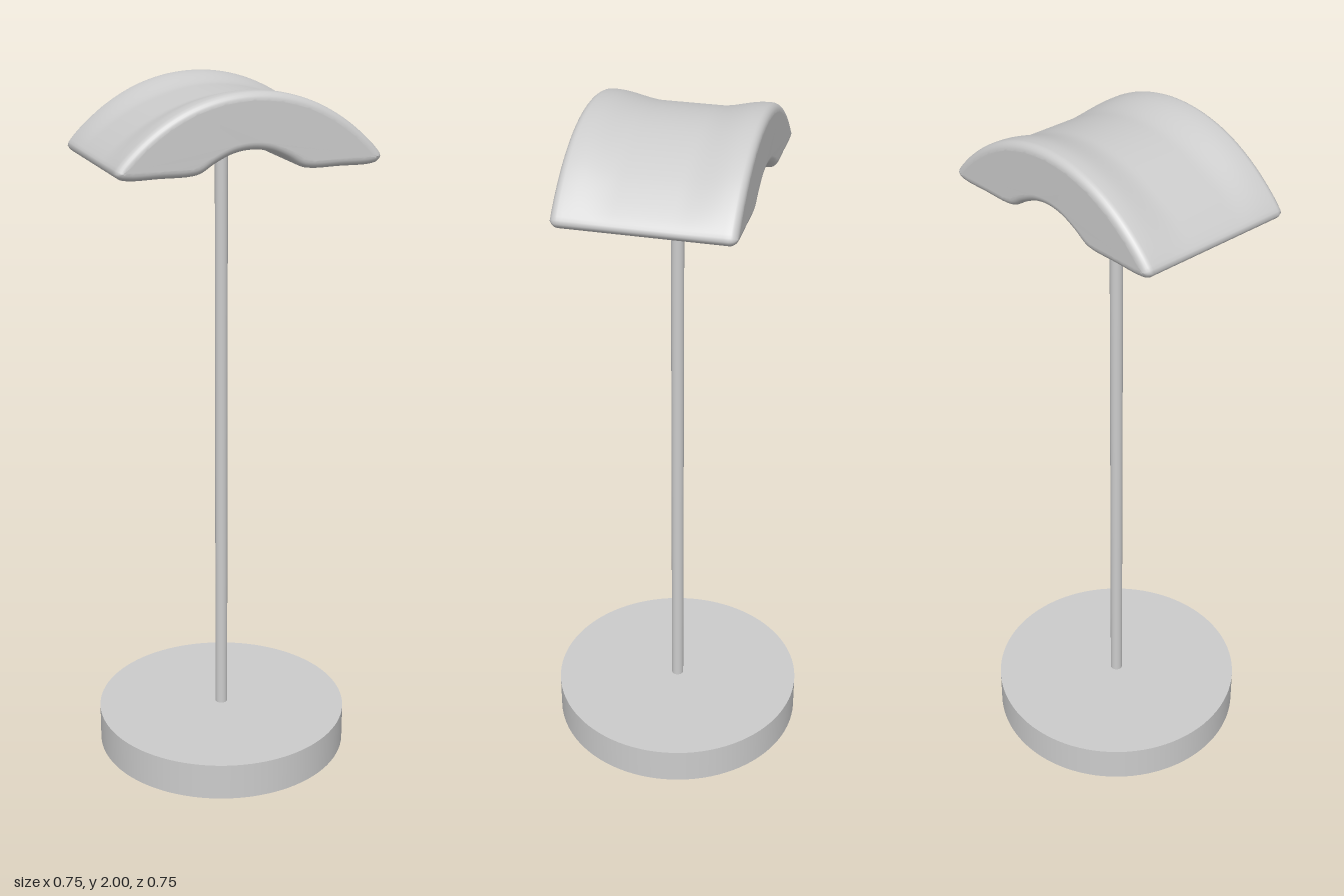
import * as THREE from 'three';

const material = new THREE.MeshStandardMaterial({ color: 0xcccccc });

// Right half of the cradle's section, from underside centre round the tip to the crown
const HALF = [
  [0, 1.85], [0.05, 1.843], [0.1, 1.821], [0.14, 1.797], [0.17, 1.791], [0.25, 1.791], [0.335, 1.791],
  [0.36, 1.797], [0.371, 1.813], [0.362, 1.828], [0.32, 1.871], [0.25, 1.925], [0.17, 1.967], [0.085, 1.992], [0, 2],
];

function sectionLoop() {
  const mirrored = HALF.slice(1, -1).reverse().map(([x, y]) => [-x, y]);
  const points = [...HALF, ...mirrored].map(([x, y]) => new THREE.Vector3(x, y, 0));
  const loop = new THREE.CatmullRomCurve3(points, true).getSpacedPoints(160);
  loop.pop();
  return loop;
}

// Saddle-shaped rest: the section is swept along z, dipped in the middle and rounded at both faces
function cradleGeometry() {
  const loop = sectionLoop(), n = loop.length;
  const halfDepth = 0.238, radius = 0.022, roundSteps = 6, spanSteps = 36;
  const stations = [];
  for (let i = 0; i <= roundSteps; i++) {
    const a = (i / roundSteps) * Math.PI / 2;
    stations.push([-halfDepth + radius * (1 - Math.sin(a)), radius * (1 - Math.cos(a))]);
  }
  // first entries run from the middle outward, so order by depth
  for (let i = 1; i < spanSteps; i++) stations.push([(halfDepth - radius) * (2 * i / spanSteps - 1), 0]);
  for (let i = 0; i <= roundSteps; i++) {
    const a = (i / roundSteps) * Math.PI / 2;
    stations.push([halfDepth - radius * (1 - Math.sin(a)), radius * (1 - Math.cos(a))]);
  }
  // turn each rounding so the inset is largest at the outer face
  for (const s of stations) {
    const t = Math.max(0, (Math.abs(s[0]) - halfDepth + radius) / radius);
    s[1] = radius * (1 - Math.sqrt(Math.max(0, 1 - t * t)));
  }
  stations.sort((a, b) => a[0] - b[0]);

  const positions = [], index = [];
  for (const [z, inset] of stations) {
    const dip = 0.021 * (1 - THREE.MathUtils.smoothstep(Math.abs(z), 0.08, 0.205));
    loop.forEach((p, i) => {
      const t = loop[(i + 1) % n].clone().sub(loop[(i + n - 1) % n]).normalize();
      const x = p.x - t.y * inset;
      const upper = THREE.MathUtils.smoothstep(t.x, -0.5, 0.1);
      const fade = 1 - Math.pow(Math.min(1, Math.abs(p.x) / 0.371), 4);
      positions.push(x, p.y + t.x * inset - dip * fade * (1 - upper), z);
    });
  }
  for (let s = 0; s < stations.length - 1; s++) {
    for (let i = 0; i < n; i++) {
      const a = s * n + i, b = s * n + (i + 1) % n;
      index.push(a, b, b + n, a, b + n, a + n);
    }
  }
  // flat end faces
  const last = (stations.length - 1) * n;
  const outline = loop.map((p, i) => new THREE.Vector2(positions[3 * (last + i)], positions[3 * (last + i) + 1]));
  for (const [a, b, c] of THREE.ShapeUtils.triangulateShape(outline, [])) {
    index.push(last + a, last + b, last + c, a, c, b);
  }
  const geometry = new THREE.BufferGeometry();
  geometry.setAttribute('position', new THREE.Float32BufferAttribute(positions, 3));
  geometry.setIndex(index);
  geometry.computeVertexNormals();
  return geometry;
}

export function createModel() {
  const group = new THREE.Group();
  group.name = 'headphoneStand';
  const add = (name, geometry, y) => {
    const mesh = new THREE.Mesh(geometry, material);
    mesh.name = name;
    mesh.position.y = y;
    group.add(mesh);
  };

  // Round foot and slim post
  add('base', new THREE.CylinderGeometry(0.373, 0.373, 0.11, 96), 0.055);
  add('post', new THREE.CylinderGeometry(0.018, 0.018, 1.77, 32), 0.985);
  // Curved headband rest
  add('cradle', cradleGeometry(), 0);
  return group;
}
